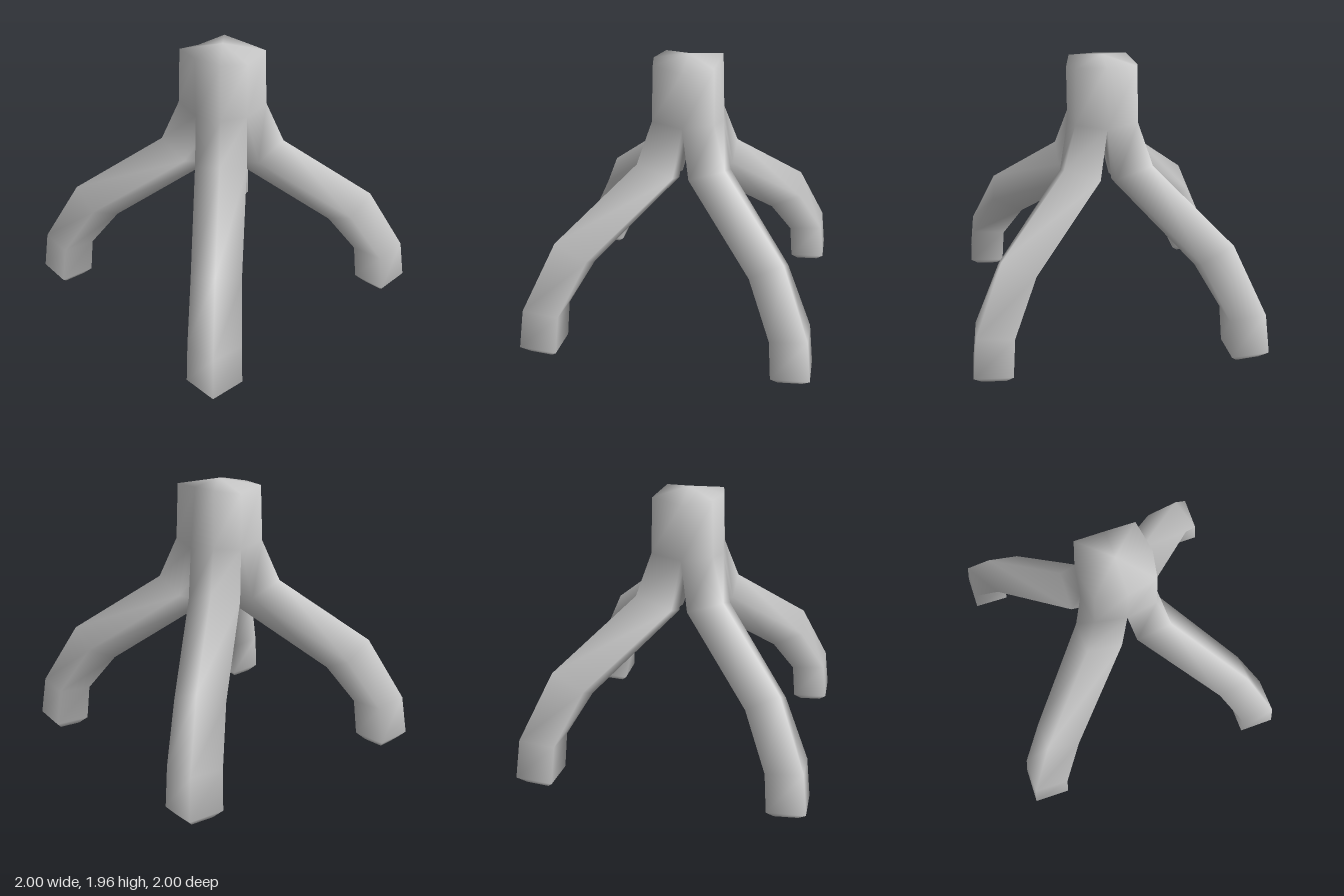
import * as THREE from 'three';

export function createModel() {
  const group = new THREE.Group();
  const material = new THREE.MeshStandardMaterial({ color: 0xcccccc });
  const positions = [];
  const vertex = (x, y, z) => positions.push(x, y, z) / 3 - 1;
  const polar = (r, y, a, side = 0) =>
    vertex(r * Math.cos(a) - side * Math.sin(a), y, r * Math.sin(a) + side * Math.cos(a));

  // Wall between two rings of vertices, upper ring first
  const wall = (faces, upper, lower) => upper.forEach((a, i) => {
    const j = (i + 1) % upper.length;
    faces.push(a, upper[j], lower[j], a, lower[j], lower[i]);
  });

  // Trunk: eight-sided, slightly flattened at the back, with a low pointed cap
  const trunk = [];
  const top = [], base = [];
  for (let i = 0; i < 8; i++) {
    const a = i * Math.PI / 4, diagonal = i % 2 === 1;
    base.push(polar(diagonal ? 0.31 : 0.25, diagonal ? 1.52 : 1.49, a));
    const r = diagonal ? 0.295 : i === 6 ? 0.21 : 0.252;
    top.push(polar(r, i % 4 === 0 ? 1.88 : 1.915, a));
  }
  const apex = vertex(0, 1.96, 0);
  const crotch = vertex(0, 1.49, 0);
  wall(trunk, top, base);
  top.forEach((t, i) => trunk.push(apex, top[(i + 1) % 8], t));
  const parts = [['trunk', trunk]];

  // Leg cross-sections: outer radius, outer y, inner radius, inner y, half width
  const sections = [
    [0.44, 1.23, 0.085, 1.05, 0.182],
    [1.10, 0.80, 0.806, 0.57, 0.168],
    [1.37, 0.36, 1.018, 0.31, 0.177],
    [1.414, 0.08, 1.047, 0.05, 0.184],
    [1.34, 0.02, 1.117, 0.00, 0.115],
  ];
  const names = ['frontLeftLeg', 'frontRightLeg', 'backRightLeg', 'backLeftLeg'];
  names.forEach((name, k) => {
    const faces = [];
    const a = Math.PI / 4 + k * Math.PI / 2;
    let ring = [base[2 * k + 1], base[(2 * k + 2) % 8], crotch, base[2 * k]];
    for (const [ro, yo, ri, yi, w] of sections) {
      const r = (ro + ri) / 2, y = (yo + yi) / 2;
      const next = [polar(ro, yo, a), polar(r, y, a, w), polar(ri, yi, a), polar(r, y, a, -w)];
      wall(faces, ring, next);
      ring = next;
    }
    // Sole of the foot
    faces.push(ring[0], ring[1], ring[2], ring[0], ring[2], ring[3]);
    parts.push([name, faces]);
  });

  // Smooth normals shared across all parts, so the legs blend into the trunk
  const whole = new THREE.BufferGeometry();
  whole.setAttribute('position', new THREE.Float32BufferAttribute(positions, 3));
  whole.setIndex(parts.flatMap(([, faces]) => faces));
  whole.computeVertexNormals();

  for (const [name, faces] of parts) {
    const geometry = new THREE.BufferGeometry();
    geometry.setAttribute('position', whole.attributes.position);
    geometry.setAttribute('normal', whole.attributes.normal);
    geometry.setIndex(faces);
    const mesh = new THREE.Mesh(geometry, material);
    mesh.name = name;
    group.add(mesh);
  }
  return group;
}
